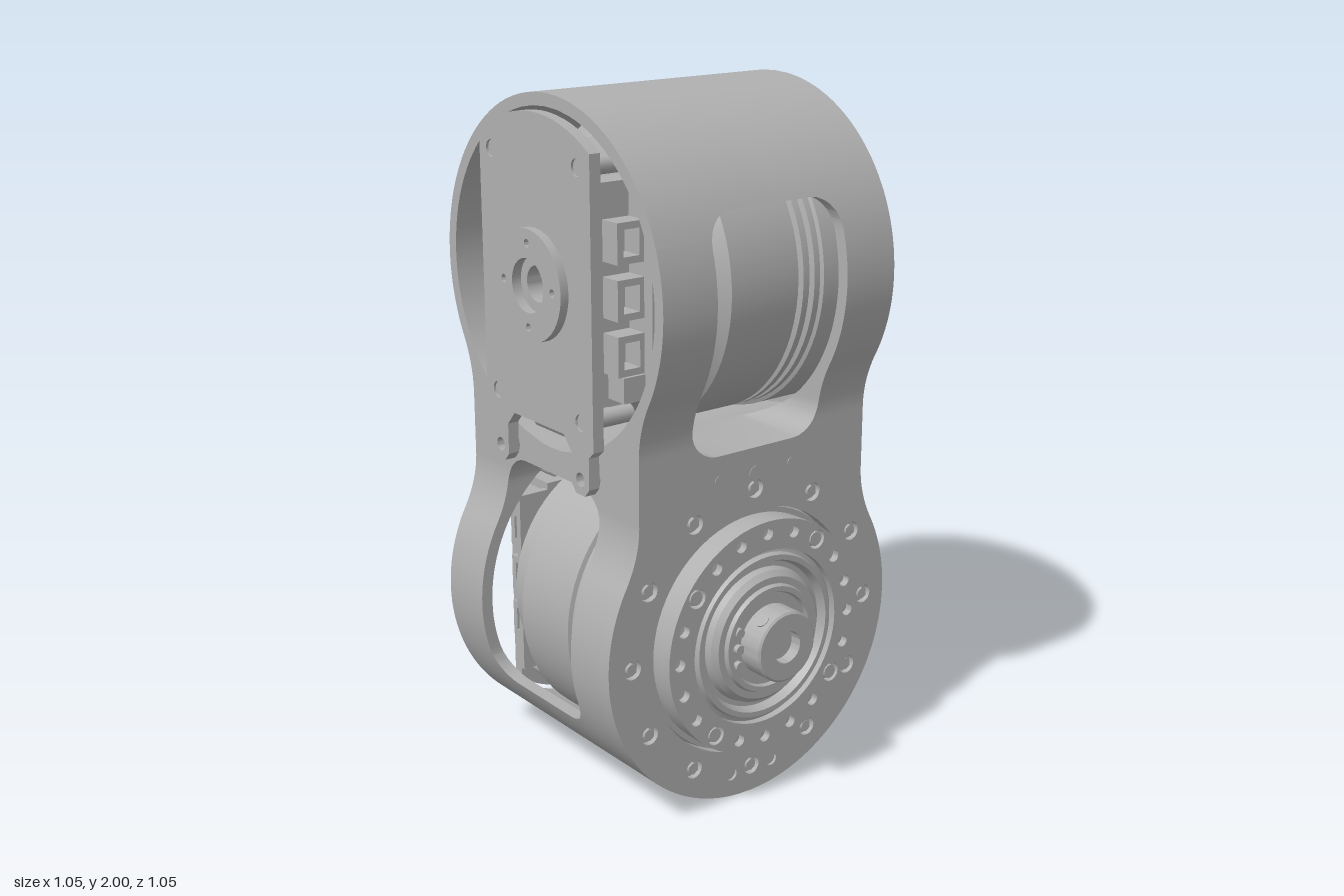
import * as THREE from 'three';
import { toCreasedNormals } from 'three/addons/utils/BufferGeometryUtils.js';

const R = 0.505;        // outer radius of a housing
const CAVITY = 0.47;    // inner radius of a housing
const OFF = -0.02;      // axis offset of the housings

const metal = new THREE.MeshStandardMaterial({ color: 0xb0b0b0 });
metal.name = 'metal grey';

function add(parent, name, geo, x = 0, y = 0, z = 0) {
  const m = new THREE.Mesh(geo, metal);
  m.name = name;
  m.position.set(x, y, z);
  parent.add(m);
  return m;
}

// Half width of the housing at height t above its axis: circle, fillet, straight neck
function halfWidth(t) {
  if (t < 0.24) return Math.sqrt(Math.max(0, R * R - t * t));
  if (t < 0.403) return 0.4 + 0.044 * ((0.403 - t) / 0.163) ** 2;
  return 0.4;
}

const cavityWidth = t => (Math.abs(t) < CAVITY ? Math.sqrt(CAVITY * CAVITY - t * t) : 0);

// Half width of the rounded side window, zero outside it
function windowWidth(t) {
  const r = 0.09, e = Math.abs(t - 0.105);
  if (e > 0.34) return 0;
  const d = Math.max(0, e - 0.25);
  return 0.225 - r + Math.sqrt(Math.max(0, r * r - d * d));
}

// Heights at which the housing is sampled
function heights() {
  const ts = [0.495, CAVITY, -CAVITY];
  for (let i = 0; i <= 32; i++) ts.push(-R * Math.cos((i / 32) * Math.PI / 2));
  for (let i = 1; i <= 26; i++) ts.push(i * 0.0187);
  for (const s of [-1, 1]) {
    ts.push(0.105 + s * 0.33999, 0.105 + s * 0.34001);
    for (let i = 0; i < 6; i++) ts.push(0.105 + s * (0.25 + 0.09 * Math.sin((i / 6) * Math.PI / 2)));
  }
  return ts.sort((a, b) => a - b);
}

// Skin through rings of equal point count
function loft(rings) {
  const pos = rings.flat(2), idx = [], n = rings[0].length;
  for (let r = 0; r < rings.length - 1; r++) {
    for (let k = 0; k < n; k++) {
      const a = r * n + k, b = r * n + (k + 1) % n;
      idx.push(a, b, b + n, a, b + n, a + n);
    }
  }
  const g = new THREE.BufferGeometry();
  g.setAttribute('position', new THREE.Float32BufferAttribute(pos, 3));
  g.setIndex(idx);
  return toCreasedNormals(g, 0.5);
}

function circle(x, y, r, n = 16) {
  const pts = [];
  for (let i = 0; i < n; i++) {
    const a = (i / n) * Math.PI * 2;
    pts.push(new THREE.Vector2(x + r * Math.cos(a), y + r * Math.sin(a)));
  }
  return pts;
}

// Plate from an outline with holes, lying between z0 and z1
function plate(outline, holes, z0, z1) {
  const shape = new THREE.Shape(outline);
  holes.forEach(h => shape.holes.push(new THREE.Path(h)));
  const g = new THREE.ExtrudeGeometry(shape, { depth: z1 - z0, bevelEnabled: false });
  return toCreasedNormals(g.translate(0, 0, z0), 0.5);
}

// Cylinder along z between z0 and z1
function rod(r, z0, z1, n = 16) {
  return new THREE.CylinderGeometry(r, r, z1 - z0, n).rotateX(Math.PI / 2).translate(0, 0, (z0 + z1) / 2);
}

// Solid of revolution about z from [radius, z] pairs
function turned(profile) {
  const g = new THREE.LatheGeometry(profile.map(p => new THREE.Vector2(...p)), 72);
  return toCreasedNormals(g.rotateX(Math.PI / 2), 0.5);
}

const polar = (r, a) => [r * Math.cos(a), r * Math.sin(a)];
const V = (x, y) => new THREE.Vector2(x, y);

function housing(g) {
  const ts = heights();
  // Side walls, each as two strips either side of the window
  for (const s of [-1, 1]) for (const j of [-1, 1]) {
    const rings = ts.map(t => {
      const o = s * halfWidth(t), i = s * cavityWidth(t);
      const end = j > 0 ? 0.345 : -0.42, mid = OFF + j * windowWidth(t);
      const ring = [[o, t, end], [o, t, mid], [i, t, mid], [i, t, end]];
      return s * j > 0 ? ring : ring.reverse();
    });
    add(g, 'housingWall', loft(rings));
  }
  // Front plate with bolt recesses
  const bolts = [...Array(12)].map((_, i) => polar(0.425, i * Math.PI / 6));
  const pins = [[-0.075, -0.43], [0.075, -0.43]];
  const rim = ts.filter((t, i) => i === 0 || t - ts[i - 1] > 1e-3);
  const outline = [...rim.map(t => V(halfWidth(t), t)),
    ...rim.slice(1).reverse().map(t => V(-halfWidth(t), t))];
  const holes = [circle(0, 0, 0.365, 72), ...bolts.map(b => circle(...b, 0.028)),
    ...pins.map(p => circle(...p, 0.02))];
  add(g, 'frontPlate', plate(outline, holes, 0.34, 0.38));
  for (const [x, y] of bolts) {
    add(g, 'boltSeat', rod(0.029, 0.342, 0.362), x, y);
    add(g, 'boltHead', rod(0.018, 0.36, 0.377, 6), x, y);
  }
  for (const [x, y] of pins) add(g, 'pin', rod(0.021, 0.342, 0.372), x, y);
  for (const x of [-0.13, 0.13]) add(g, 'neckPin', rod(0.014, 0.37, 0.382), x, 0.475);
  add(g, 'neckScrew', rod(0.022, 0.37, 0.382), 0, 0.47);
}

function motor(g) {
  // Motor can with grooves, and stepped front bearing
  add(g, 'motorBody', turned([
    [0, -0.3], [0.3, -0.3], [0.37, -0.27], [0.37, -0.2], [0.4, -0.17], [0.435, -0.14],
    [0.435, 0.09], [0.42, 0.095], [0.42, 0.105], [0.435, 0.11], [0.435, 0.13], [0.42, 0.135],
    [0.42, 0.145], [0.435, 0.15], [0.435, 0.17], [0.445, 0.175], [0.445, 0.342], [0.366, 0.342],
    [0.36, 0.365], [0.344, 0.365], [0.344, 0.415], [0.26, 0.415], [0.245, 0.42], [0.24, 0.435],
    [0.225, 0.435], [0.215, 0.41], [0.2, 0.41], [0.195, 0.43], [0.18, 0.445], [0.16, 0.445],
    [0.155, 0.457], [0.14, 0.457], [0.135, 0.447], [0, 0.447]]));
  // Output ring: every fifth hole carries a screw
  const spots = [...Array(20)].map((_, i) => polar(0.308, i * Math.PI / 10));
  const holes = spots.map((p, i) => circle(...p, i % 5 === 3 ? 0.029 : 0.018, 14));
  add(g, 'outputRing', plate(circle(0, 0, 0.345, 72), [circle(0, 0, 0.258, 72), ...holes], 0.385, 0.437));
  spots.forEach(([x, y], i) => {
    if (i % 5 === 3) add(g, 'ringScrew', rod(0.021, 0.41, 0.434, 12), x, y);
  });
  // Shaft hub
  const hub = new THREE.Group();
  hub.name = 'hub';
  g.add(hub);
  add(hub, 'hubCollar', turned([[0.103, 0.44], [0.103, 0.52], [0.097, 0.525], [0.047, 0.525], [0.047, 0.49], [0, 0.49]]));
  for (const y of [-0.05, 0, 0.05]) add(hub, 'hubPin', rod(0.014, 0.44, 0.462), -0.115, y);
  for (const a of [0, 2.2]) {
    const screw = add(hub, 'setScrew', new THREE.CylinderGeometry(0.02, 0.02, 0.01, 14), ...polar(0.1, a), 0.487);
    screw.rotation.z = a - Math.PI / 2;
  }
  return hub;
}

function backCover(g) {
  // Cover with arc foot and two ears
  const outline = [];
  for (let i = 0; i <= 16; i++) {
    const x = -0.257 + 0.514 * i / 16;
    outline.push(V(x, -Math.sqrt(0.46 * 0.46 - x * x)));
  }
  outline.push(V(0.257, 0.41), V(0.235, 0.43), V(0.235, 0.52), V(0.215, 0.543), V(0.175, 0.543),
    V(0.155, 0.52), V(0.155, 0.43), V(0.12, 0.39), V(-0.12, 0.39), V(-0.155, 0.43), V(-0.155, 0.52),
    V(-0.175, 0.543), V(-0.215, 0.543), V(-0.235, 0.52), V(-0.235, 0.43), V(-0.257, 0.41));
  const screws = [[-0.2, -0.34], [0.2, -0.34], [-0.2, 0.34], [0.2, 0.34]];
  const ears = [[-0.195, 0.5], [0.195, 0.5]];
  add(g, 'backCover', plate(outline, [circle(0, 0, 0.08, 32),
    ...screws.map(p => circle(...p, 0.024)), ...ears.map(p => circle(...p, 0.02))], -0.462, -0.428));
  for (const [x, y] of screws) add(g, 'coverScrew', rod(0.025, -0.455, -0.3), x, y);
  for (const [x, y] of ears) add(g, 'earPost', rod(0.036, -0.43, -0.422), x, y);
  // Central boss and bearing
  const small = [0, 1, 2, 3].map(i => circle(...polar(0.115, i * Math.PI / 2), 0.012, 10));
  add(g, 'boss', plate(circle(0, 0, 0.155, 48), [circle(0, 0, 0.075, 32), ...small], -0.487, -0.462));
  add(g, 'bearing', plate(circle(0, 0, 0.082, 32), [circle(0, 0, 0.05, 32)], -0.455, -0.295));
  // Electronics between cover and motor
  for (const s of [-1, 1]) {
    add(g, 'sideBlock', new THREE.BoxGeometry(0.08, 0.6, 0.13), s * 0.19, 0, -0.365);
    add(g, 'circuitBoard', new THREE.BoxGeometry(0.1, 0.56, 0.02), s * 0.28, 0, -0.31);
    for (const y of [-0.15, 0, 0.15]) {
      const rect = (a, b) => [V(-a, -b), V(a, -b), V(a, b), V(-a, b)];
      const socket = plate(rect(0.045, 0.055), [rect(0.026, 0.036)], -0.035, 0.035);
      add(g, 'socket', socket.rotateY(Math.PI / 2), s * 0.26, y, -0.36);
    }
    add(g, 'cornerBlock', new THREE.BoxGeometry(0.07, 0.07, 0.07), s * 0.27, 0.24, -0.36);
  }
  // Sloped web between the ears
  const web = add(g, 'earWeb', new THREE.BoxGeometry(0.26, 0.09, 0.02), 0, 0.4, -0.4);
  web.rotation.x = 0.6;
}

function actuator(name) {
  const g = new THREE.Group();
  g.name = name;
  const inner = new THREE.Group();
  inner.name = 'actuatorUnit';
  inner.position.set(OFF, R, 0);
  g.add(inner);
  housing(inner);
  const hub = motor(inner);
  backCover(inner);
  return { g, hub };
}

export function createModel() {
  const model = new THREE.Group();
  model.name = 'doubleActuatorJoint';
  const lower = actuator('lowerActuator');
  // The upper unit is the lower one turned half round a diagonal axis
  const upper = actuator('upperActuator');
  upper.g.quaternion.setFromAxisAngle(new THREE.Vector3(1, 0, 1).normalize(), Math.PI);
  upper.g.position.y = 2;
  upper.hub.rotation.z = Math.PI;
  model.add(lower.g, upper.g);
  return model;
}
